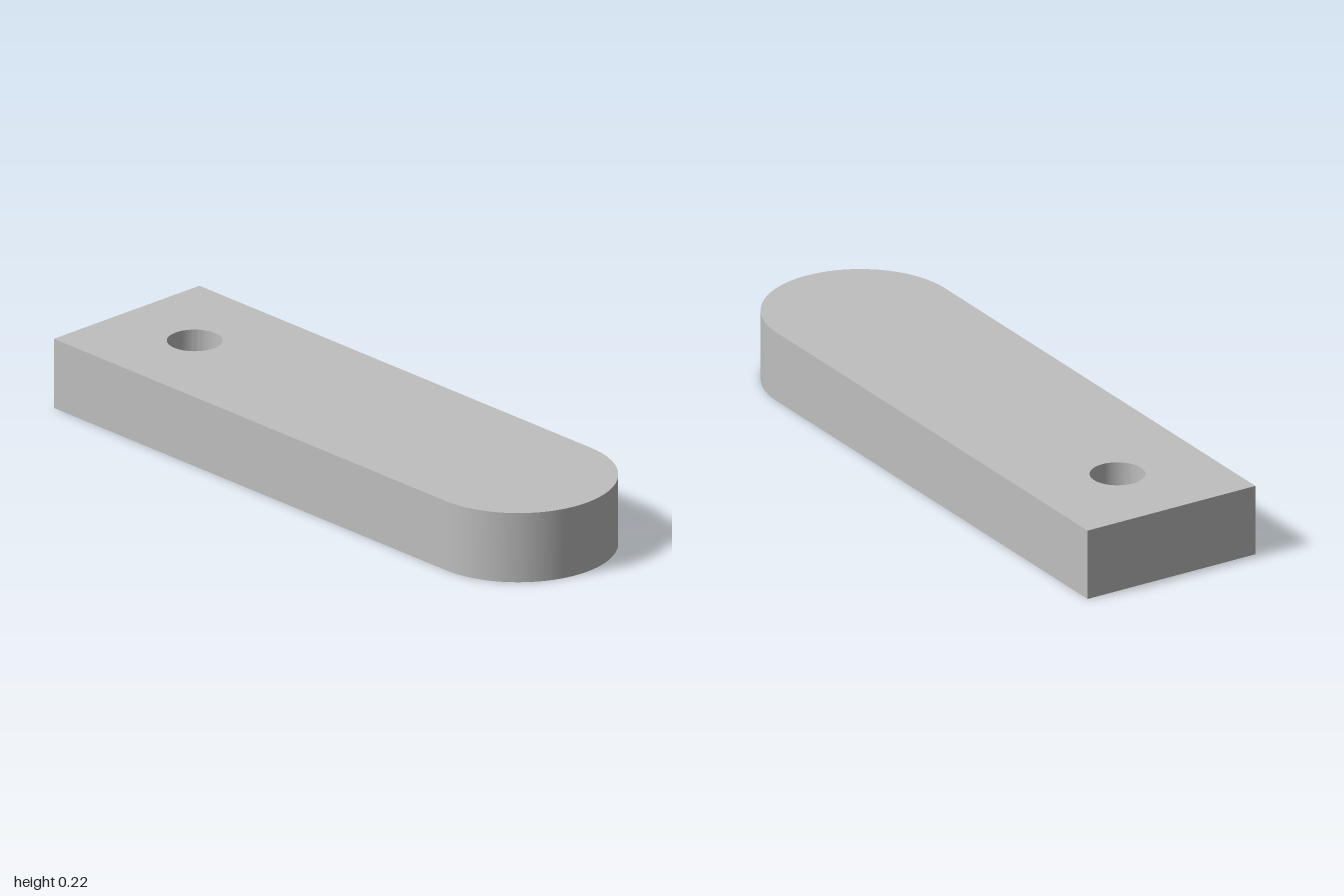
import * as THREE from 'three';
import { toCreasedNormals } from 'three/addons/utils/BufferGeometryUtils.js';

const HEIGHT = 0.223, HALF = 0.297, POCKET_DEPTH = 0.1;
const HOLE = { x: -0.704, r: 0.083 };
const POCKET = { x0: -0.97, x1: -0.03, z: 0.169 };

// Straight bar with one square end and one round end
function barOutline() {
  const s = new THREE.Shape();
  s.moveTo(-1, -HALF);
  s.lineTo(1 - HALF, -HALF);
  s.absarc(1 - HALF, 0, HALF, -Math.PI / 2, Math.PI / 2, false);
  s.lineTo(-1, HALF);
  s.closePath();
  return s;
}

function pocketOutline() {
  const { x0, x1, z } = POCKET;
  return new THREE.Shape([[x0, -z], [x1, -z], [x1, z], [x0, z]].map(p => new THREE.Vector2(...p)));
}

function holeOutline() {
  return new THREE.Shape().absarc(HOLE.x, 0, HOLE.r, 0, Math.PI * 2, false);
}

// Horizontal face at height y, facing up or down
function cap(outline, hole, y, up) {
  outline.holes.push(hole);
  return new THREE.ShapeGeometry(outline, 32).rotateX(up ? -Math.PI / 2 : Math.PI / 2).translate(0, y, 0);
}

// Vertical wall along an outline, facing outward or inward
function wall(outline, y0, y1, inward) {
  const pts = outline.getPoints(32);
  if (!pts[0].equals(pts[pts.length - 1])) pts.push(pts[0].clone());
  if (inward) pts.reverse();
  const pos = [];
  for (let i = 0; i < pts.length - 1; i++) {
    const p = pts[i], q = pts[i + 1];
    if (p.distanceTo(q) < 1e-6) continue;
    pos.push(p.x, y0, -p.y, q.x, y0, -q.y, q.x, y1, -q.y);
    pos.push(p.x, y0, -p.y, q.x, y1, -q.y, p.x, y1, -p.y);
  }
  const g = new THREE.BufferGeometry();
  g.setAttribute('position', new THREE.Float32BufferAttribute(pos, 3));
  return toCreasedNormals(g, Math.PI / 6);
}

export function createModel() {
  const group = new THREE.Group();
  group.name = 'roundEndedBar';
  const grey = new THREE.MeshStandardMaterial({ color: 0xbfbfbf });
  grey.name = 'grey';
  const add = (name, geometry) => {
    const mesh = new THREE.Mesh(geometry, grey);
    mesh.name = name;
    group.add(mesh);
  };

  // Outer skin
  add('topFace', cap(barOutline(), holeOutline(), HEIGHT, true));
  add('bottomFace', cap(barOutline(), pocketOutline(), 0, false));
  add('outerWall', wall(barOutline(), 0, HEIGHT, false));

  // Pocket in the underside, with the hole through to the top
  add('pocketWall', wall(pocketOutline(), 0, POCKET_DEPTH, true));
  add('pocketCeiling', cap(pocketOutline(), holeOutline(), POCKET_DEPTH, false));
  add('holeWall', wall(holeOutline(), POCKET_DEPTH, HEIGHT, true));

  return group;
}
